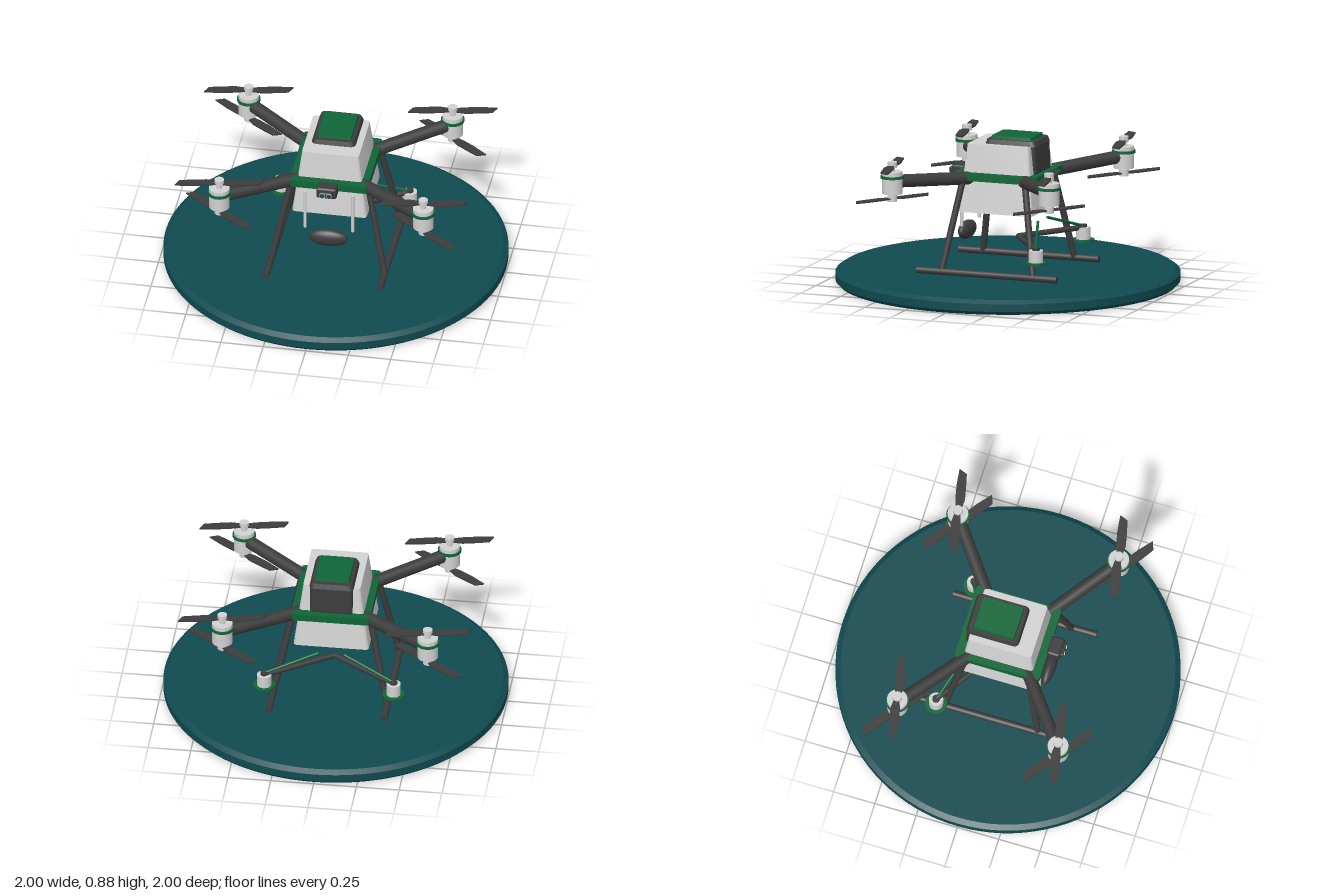
import * as THREE from 'three';
import { toCreasedNormals } from 'three/addons/utils/BufferGeometryUtils.js';
import { RoundedBoxGeometry } from 'three/addons/geometries/RoundedBoxGeometry.js';

const mat = (name, color) => {
  const m = new THREE.MeshStandardMaterial({ color });
  m.name = name;
  return m;
};

export function createModel() {
  const teal = mat('deep teal', 0x0f4a50);
  const shell = mat('pale grey', 0xd2d2d2);
  const dark = mat('charcoal', 0x3c3c3c);
  const green = mat('green', 0x0f6637);
  const glass = mat('lens glass', 0x1f4a4e);

  const root = new THREE.Group();
  root.name = 'sprayDrone';

  const add = (parent, name, geo, material, x = 0, y = 0, z = 0) => {
    const m = new THREE.Mesh(geo, material);
    m.name = name;
    m.position.set(x, y, z);
    parent.add(m);
    return m;
  };
  const group = (name, x = 0, y = 0, z = 0) => {
    const g = new THREE.Group();
    g.name = name;
    g.position.set(x, y, z);
    root.add(g);
    return g;
  };
  // upright cylinder between two heights
  const post = (parent, name, r, y0, y1, material, seg = 28) =>
    add(parent, name, new THREE.CylinderGeometry(r, r, y1 - y0, seg), material, 0, (y0 + y1) / 2, 0);
  // round bar between two points
  const bar = (name, a, b, r, material) => {
    const p = new THREE.Vector3(...a), q = new THREE.Vector3(...b);
    const d = q.clone().sub(p);
    const m = add(root, name, new THREE.CylinderGeometry(r, r, d.length(), 20), material);
    m.position.copy(p).add(q).multiplyScalar(0.5);
    m.quaternion.setFromUnitVectors(new THREE.Vector3(0, 1, 0), d.normalize());
    return m;
  };
  // rounded rectangle block whose outline changes size towards the top
  const slab = (name, w, d, r, y0, y1, sx, sz, material, z = 0) => {
    const a = w / 2, b = d / 2;
    const s = new THREE.Shape();
    s.moveTo(-a + r, -b);
    s.lineTo(a - r, -b);
    s.quadraticCurveTo(a, -b, a, -b + r);
    s.lineTo(a, b - r);
    s.quadraticCurveTo(a, b, a - r, b);
    s.lineTo(-a + r, b);
    s.quadraticCurveTo(-a, b, -a, b - r);
    s.lineTo(-a, -b + r);
    s.quadraticCurveTo(-a, -b, -a + r, -b);
    const h = y1 - y0;
    let g = new THREE.ExtrudeGeometry(s, { depth: h, bevelEnabled: false, curveSegments: 5 });
    g.rotateX(-Math.PI / 2);
    const p = g.attributes.position;
    for (let i = 0; i < p.count; i++) {
      const t = p.getY(i) / h;
      p.setX(i, p.getX(i) * (1 + (sx - 1) * t));
      p.setZ(i, p.getZ(i) * (1 + (sz - 1) * t));
    }
    g = toCreasedNormals(g, 0.6);
    return add(root, name, g, material, 0, y0, z);
  };

  // landing pad with bevelled rim
  const rim = [[0, 0], [0.98, 0], [1, 0.02], [1, 0.065], [0.97, 0.085], [0, 0.085]]
    .map(([x, y]) => new THREE.Vector2(x, y));
  add(root, 'landingPad', toCreasedNormals(new THREE.LatheGeometry(rim, 96), 0.4), teal);

  // body: tank, frame, lid and rear battery
  slab('tank', 0.44, 0.46, 0.025, 0.44, 0.835, 0.76, 0.83, shell);
  slab('frame', 0.46, 0.515, 0.025, 0.628, 0.672, 1, 1, green);
  slab('lidTray', 0.26, 0.32, 0.035, 0.833, 0.862, 0.92, 0.93, dark, -0.06);
  slab('lid', 0.205, 0.25, 0.012, 0.86, 0.88, 0.97, 0.97, green, -0.057);
  const battery = add(root, 'battery', new RoundedBoxGeometry(0.25, 0.19, 0.07, 3, 0.02), dark, 0, 0.755, -0.183);
  battery.rotation.x = 0.04;

  // front camera with two lenses
  const cam = group('camera', 0, 0.648, 0.29);
  add(cam, 'cameraHousing', new RoundedBoxGeometry(0.12, 0.07, 0.08, 3, 0.015), dark);
  add(cam, 'lensBlock', new RoundedBoxGeometry(0.08, 0.036, 0.03, 2, 0.008), dark, 0, 0, 0.045);
  for (const s of [-1, 1]) {
    const ring = add(cam, 'lensRing', new THREE.CylinderGeometry(0.017, 0.017, 0.008, 20), shell, s * 0.02, 0, 0.057);
    const lens = add(cam, 'lens', new THREE.CylinderGeometry(0.014, 0.014, 0.009, 20), glass, s * 0.02, 0, 0.059);
    ring.rotation.x = lens.rotation.x = Math.PI / 2;
  }

  // radar pod below the nose
  add(root, 'radarPod', new THREE.SphereGeometry(1, 32, 20), dark, 0, 0.295, 0.253).scale.set(0.115, 0.054, 0.037);

  // swept propeller blade, flat outline
  const outline = [[0, -0.012], [0.07, -0.018], [0.16, -0.014], [0.26, 0], [0.228, 0.043], [0.15, 0.042], [0.07, 0.038], [0, 0.014]];
  const bladeGeo = new THREE.ExtrudeGeometry(
    new THREE.Shape(outline.map(([u, v]) => new THREE.Vector2(u, -v))),
    { depth: 0.008, bevelEnabled: false });
  bladeGeo.rotateX(-Math.PI / 2);
  const propeller = (parent, name, y, angle) => {
    for (const turn of [0, Math.PI]) {
      add(parent, name, bladeGeo, dark, 0, y, 0).rotation.y = angle + turn;
    }
  };

  for (const sx of [-1, 1]) {
    for (const sz of [-1, 1]) {
      bar('arm', [sx * 0.165, 0.635, sz * 0.16], [sx * 0.6, 0.671, sz * 0.487], 0.038, dark);

      // motor with upper and lower propellers
      const motor = group('motor', sx * 0.6, 0, sz * 0.487);
      post(motor, 'motorBody', 0.06, 0.6, 0.73, shell);
      post(motor, 'motorRing', 0.068, 0.69, 0.706, green);
      post(motor, 'shaft', 0.016, 0.565, 0.77, shell, 16);
      post(motor, 'upperHub', 0.028, 0.753, 0.787, shell, 20);
      post(motor, 'lowerHub', 0.028, 0.553, 0.592, shell, 20);
      propeller(motor, 'upperBlade', 0.758, 0.26);
      propeller(motor, 'lowerBlade', 0.566, -0.565);

      bar('leg', [sx * 0.222, 0.65, sz * 0.19], [sx * 0.335, 0.105, sz * 0.283], 0.019, dark);
    }

    bar('skid', [sx * 0.337, 0.105, -0.435], [sx * 0.337, 0.105, 0.435], 0.02, dark);
    bar('frontRod', [sx * 0.14, 0.34, 0.233], [sx * 0.14, 0.59, 0.233], 0.009, shell);

    // rear spray boom, brace and nozzle
    bar('sprayBoom', [0, 0.278, -0.065], [sx * 0.375, 0.278, -0.32], 0.016, dark);
    bar('boomBrace', [sx * 0.075, 0.385, -0.215], [sx * 0.385, 0.285, -0.32], 0.008, green);
    const nozzle = group('nozzle', sx * 0.378, 0, -0.32);
    post(nozzle, 'nozzleBody', 0.042, 0.208, 0.28, shell);
    post(nozzle, 'nozzleCap', 0.022, 0.28, 0.296, dark, 20);
    post(nozzle, 'sprayDisc', 0.065, 0.198, 0.21, green);
  }

  return root;
}
